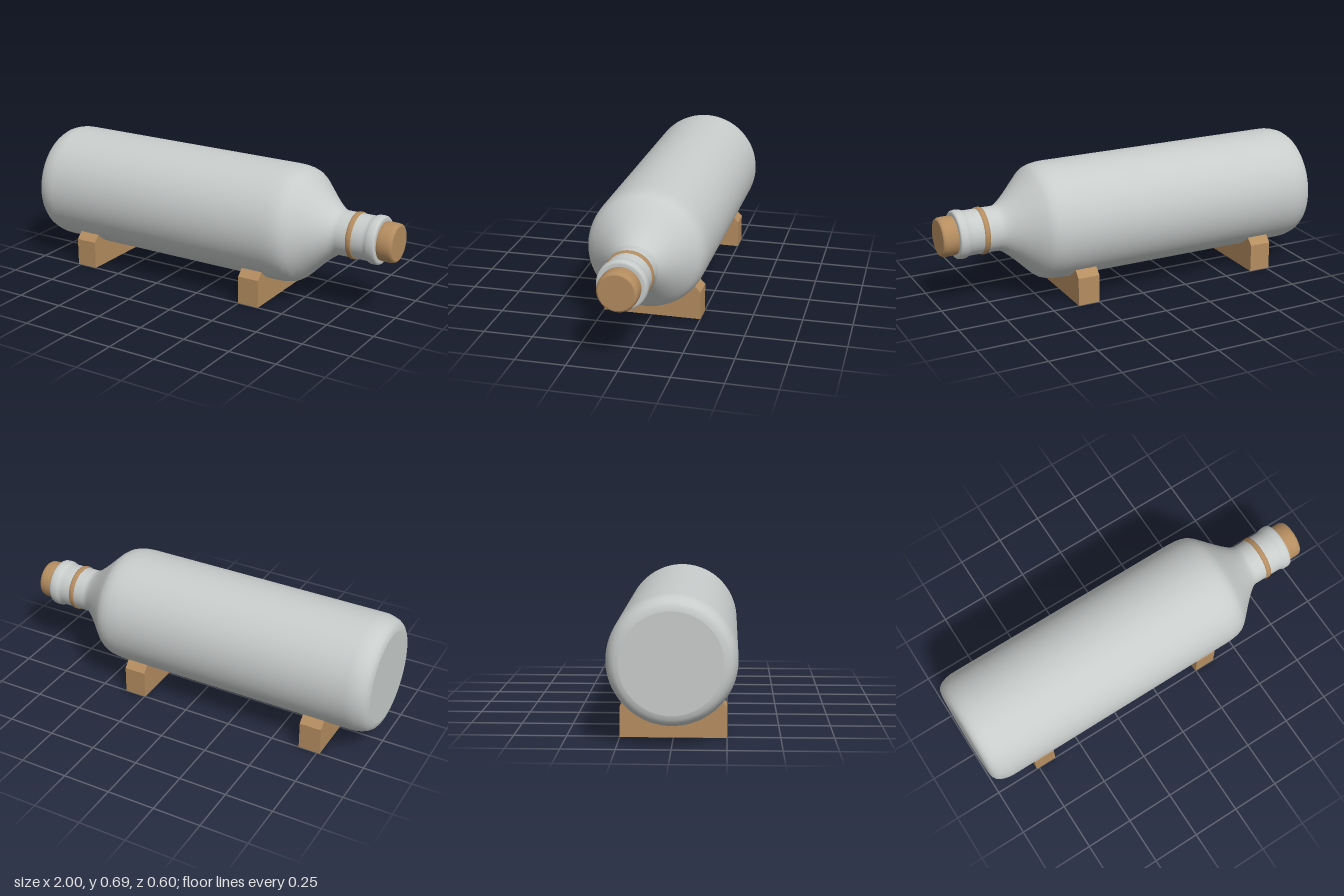
import * as THREE from 'three';

const AXIS_Y = 0.39; // height of the bottle's centre line

export function createModel() {
  const model = new THREE.Group();
  model.name = 'bottleOnStand';

  const steel = new THREE.MeshStandardMaterial({ color: 0xc8cccb });
  steel.name = 'brushed grey';
  const wood = new THREE.MeshStandardMaterial({ color: 0xb58d60 });
  wood.name = 'tan wood';

  const add = (name, geometry, material) => {
    const mesh = new THREE.Mesh(geometry, material);
    mesh.name = name;
    model.add(mesh);
    return mesh;
  };

  // Turned part lying along x, from [radius, x] points
  const turned = (name, points, material) => {
    const profile = points.map(([r, x]) => new THREE.Vector2(r, x));
    const geometry = new THREE.LatheGeometry(profile, 72);
    geometry.rotateZ(-Math.PI / 2);
    add(name, geometry, material).position.y = AXIS_Y;
  };

  // Bottle: flat base, rounded corner, straight wall, shoulder, neck and lip
  turned('bottleBase', [[0, -1], [0.235, -1]], steel);
  turned('bottleBody', [
    [0.235, -1], [0.255, -0.996], [0.272, -0.985], [0.285, -0.967], [0.294, -0.94],
    [0.299, -0.915], [0.3, -0.89], [0.3, -0.8], [0.3, 0.35], [0.3, 0.4], [0.298, 0.44],
    [0.293, 0.47], [0.284, 0.497], [0.268, 0.52], [0.236, 0.553], [0.193, 0.596],
    [0.155, 0.637], [0.135, 0.662], [0.122, 0.68], [0.115, 0.695], [0.113, 0.71],
    [0.113, 0.85], [0.114, 0.864], [0.119, 0.873], [0.122, 0.882], [0.1225, 0.9],
    [0.121, 0.913], [0.117, 0.919], [0.11, 0.921], [0.095, 0.921],
  ], steel);

  // Band around the neck
  turned('neckBand', [
    [0.112, 0.767], [0.117, 0.768], [0.119, 0.774], [0.119, 0.788], [0.117, 0.794], [0.112, 0.795],
  ], wood);

  // Stopper with softened edge and flat end
  turned('stopperSide', [
    [0.094, 0.915], [0.097, 0.925], [0.099, 0.94], [0.099, 0.975], [0.097, 0.99], [0.092, 0.998], [0.086, 1],
  ], wood);
  turned('stopperEnd', [[0.086, 1], [0, 1]], wood);

  // Cradles: blocks with chamfered shoulders and a round seat
  const seatRadius = 0.301;
  const seatZ = 0.216;
  const seatAngle = Math.acos(seatZ / seatRadius);
  const outline = new THREE.Shape();
  outline.moveTo(-0.25, 0);
  outline.lineTo(0.25, 0);
  outline.lineTo(0.25, 0.145);
  outline.lineTo(seatZ, AXIS_Y - seatRadius * Math.sin(seatAngle));
  outline.absarc(0, AXIS_Y, seatRadius, -seatAngle, -Math.PI + seatAngle, true);
  outline.lineTo(-0.25, 0.145);
  outline.closePath();
  const cradle = new THREE.ExtrudeGeometry(outline, { depth: 0.115, bevelEnabled: false, curveSegments: 32 });
  cradle.translate(0, 0, -0.0575);
  cradle.rotateY(Math.PI / 2);
  for (const [name, x] of [['rearCradle', -0.707], ['neckCradle', 0.306]]) {
    add(name, cradle, wood).position.x = x;
  }

  return model;
}
